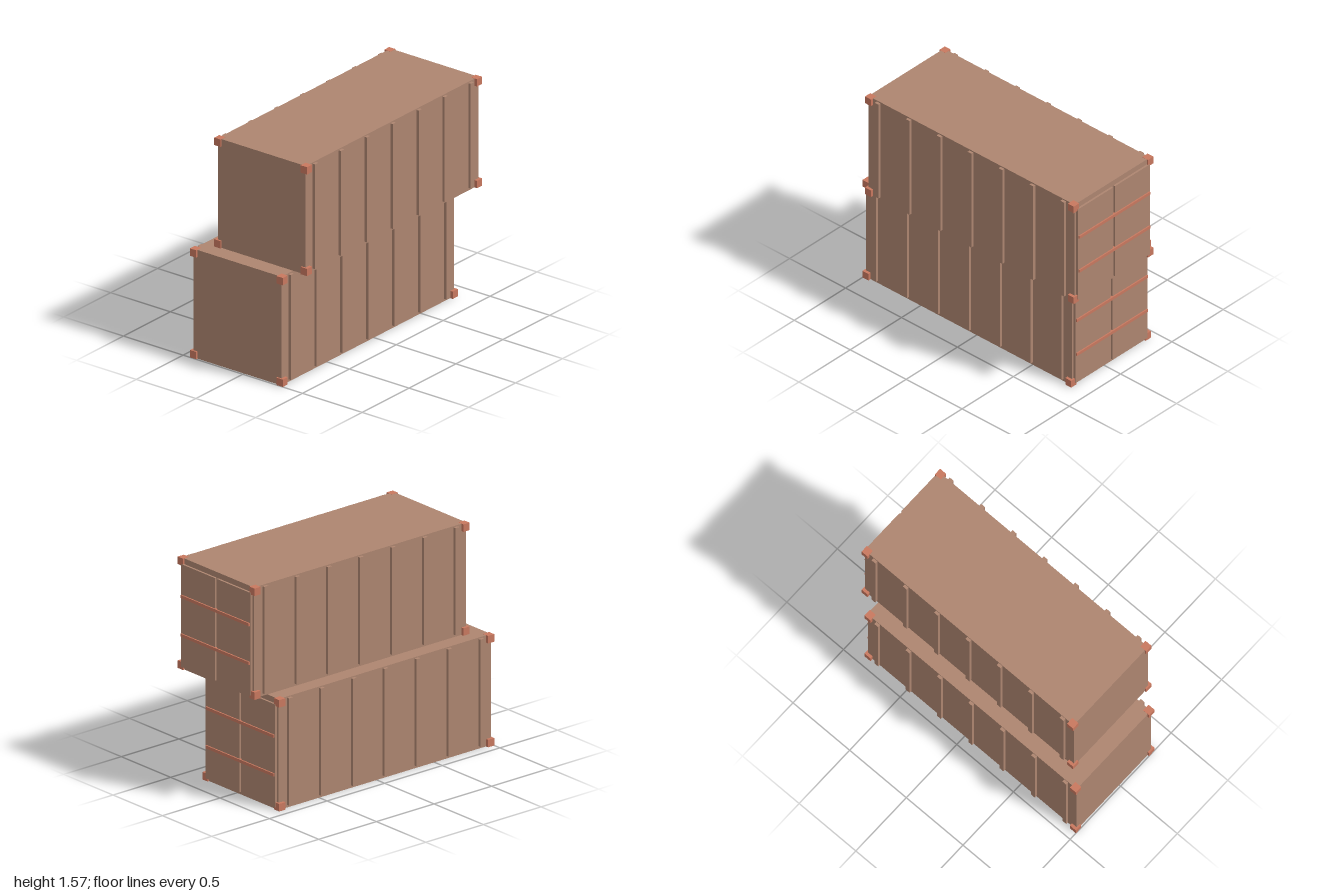
import * as THREE from 'three';

const bodyMat = new THREE.MeshStandardMaterial({ color: 0xad8570 });
const accentMat = new THREE.MeshStandardMaterial({ color: 0xc8785f });

const H = 0.786;      // container height
const HALF_X = 0.368; // body half width
const HALF_Z = 0.921; // body half length

function box(parent, name, mat, size, pos) {
  const mesh = new THREE.Mesh(new THREE.BoxGeometry(...size), mat);
  mesh.position.set(...pos);
  mesh.name = name;
  parent.add(mesh);
}

function createContainer(name) {
  const g = new THREE.Group();
  g.name = name;

  box(g, 'body', bodyMat, [HALF_X * 2, H - 0.002, HALF_Z * 2], [0, H / 2, 0]);

  // Corner castings, standing proud of the sides and ends
  const c = 0.053;
  for (const sx of [-1, 1]) for (const sz of [-1, 1]) for (const y of [c / 2, H - c / 2]) {
    box(g, 'cornerCasting', accentMat, [c, c, c],
      [sx * (HALF_X + 0.021 - c / 2), y, sz * (HALF_Z + 0.012 - c / 2)]);
  }

  // Vertical ribs along both sides
  for (const sx of [-1, 1]) for (let i = -3; i <= 3; i++) {
    box(g, 'sideRib', bodyMat, [0.04, 0.756, 0.034], [sx * HALF_X, 0.398, i * 0.2765]);
  }

  // Two doors at the back with a narrow gap between them
  for (const sx of [-1, 1]) {
    box(g, 'door', bodyMat, [0.342, 0.725, 0.03], [sx * 0.181, 0.3825, -HALF_Z]);
  }

  // Horizontal locking bars across the doors
  for (const y of [0.247, 0.52]) {
    box(g, 'lockingBar', accentMat, [0.69, 0.021, 0.02], [0, y, -HALF_Z - 0.0145]);
  }
  return g;
}

export function createModel() {
  const model = new THREE.Group();
  model.name = 'stackedContainers';

  const lower = createContainer('lowerContainer');
  lower.position.set(-0.054, 0, 0.067);
  const upper = createContainer('upperContainer');
  upper.position.set(0.054, H, -0.0545);

  model.add(lower, upper);
  return model;
}
